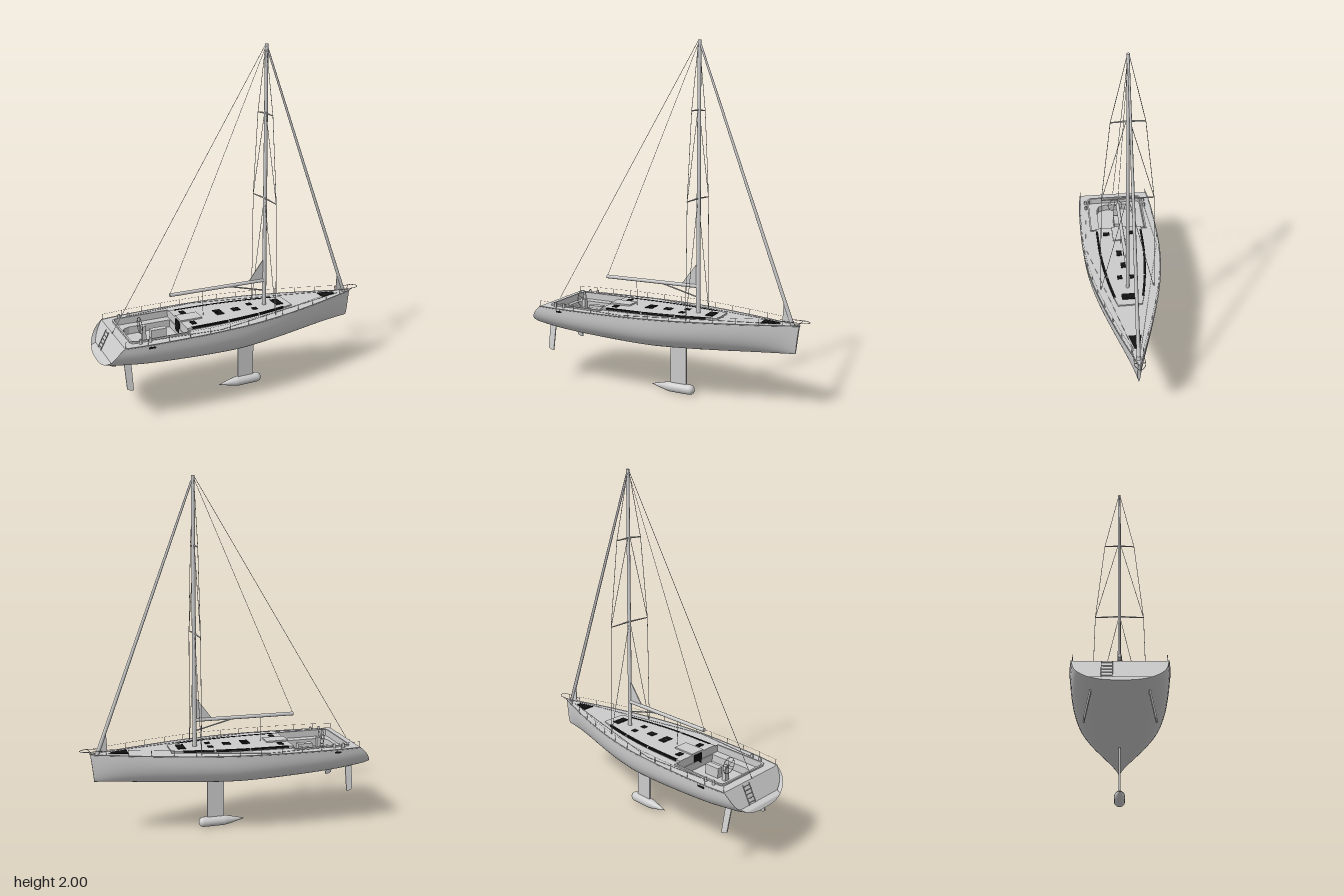
import * as THREE from 'three';

const grey = new THREE.MeshStandardMaterial({ color: 0xcccccc, side: THREE.DoubleSide });
const black = new THREE.MeshStandardMaterial({ color: 0x111111, side: THREE.DoubleSide });
const V = (x, y, z) => new THREE.Vector3(x, y, z);

// Smooth lookup through a short table of [x, value]
function curve(table) {
  const n = table.length - 1;
  const slope = i => {
    const a = table[Math.max(i - 1, 0)], b = table[Math.min(i + 1, n)];
    return (b[1] - a[1]) / (b[0] - a[0]);
  };
  return x => {
    let i = 0;
    while (i < n - 1 && x > table[i + 1][0]) i++;
    const [x0, y0] = table[i], [x1, y1] = table[i + 1], d = x1 - x0;
    const t = Math.min(Math.max((x - x0) / d, 0), 1), s = 1 - t;
    return y0 * s * s * (1 + 2 * t) + y1 * t * t * (3 - 2 * t) + d * t * s * (s * slope(i) - t * slope(i + 1));
  };
}
const halfBeam = curve([[-0.84, 0.185], [-0.8, 0.212], [-0.72, 0.224], [-0.6, 0.235], [-0.4, 0.24], [-0.2, 0.238],
  [0, 0.222], [0.2, 0.186], [0.4, 0.133], [0.6, 0.07], [0.78, 0.006]]);
const keelLine = curve([[-0.84, 0.345], [-0.6, 0.318], [-0.2, 0.296], [0, 0.292], [0.3, 0.3], [0.6, 0.318], [0.76, 0.33]]);
const roofEdge = curve([[-0.36, 0.145], [-0.1, 0.139], [0.1, 0.118], [0.27, 0.087], [0.335, 0.07]]);
const deckY = x => 0.475 + (x + 0.74) * 0.008;

// Hull point: u runs stern to bow, a runs from the keel (0) to the sheer (PI / 2)
function hullPoint(u, a) {
  const n = THREE.MathUtils.lerp(2.9, 1.9, Math.max(0, (u - 0.5) * 2));
  const t = Math.pow(Math.max(Math.cos(a), 0), 2 / n);
  const top = -0.74 + 1.52 * u, bottom = -0.84 + 1.6 * u;
  const x = top + (bottom - top) * Math.pow(t, 0.75);
  const yt = deckY(top);
  return V(x, yt - (yt - keelLine(bottom)) * t, halfBeam(x) * Math.pow(Math.sin(a), 2 / n));
}

// Skin rows of points of equal length
function skin(rows) {
  const pos = [], idx = [], m = rows[0].length;
  rows.forEach(r => r.forEach(p => pos.push(p.x, p.y, p.z)));
  for (let i = 0; i < rows.length - 1; i++) for (let j = 0; j < m - 1; j++) {
    const a = i * m + j, b = a + m;
    idx.push(a, b, a + 1, b, b + 1, a + 1);
  }
  const g = new THREE.BufferGeometry();
  g.setAttribute('position', new THREE.Float32BufferAttribute(pos, 3));
  g.setIndex(idx);
  g.computeVertexNormals();
  return g;
}

const shapeOf = pts => new THREE.Shape(pts.map(p => new THREE.Vector2(p[0], p[1])));
const rect = (x0, x1, w) => [[x0, -w], [x1, -w], [x1, w], [x0, w]];
// Rectangle with its aft corners cut
const well = (x0, x1, w, c) => [[x0 + c, -w], [x1, -w], [x1, w], [x0 + c, w], [x0 + c * 0.3, w - c * 0.3], [x0, w - c], [x0, c - w], [x0 + c * 0.3, c * 0.3 - w]];

export function createModel() {
  const boat = new THREE.Group();
  const add = (name, geo, mat = grey, parent = boat) => {
    const m = new THREE.Mesh(geo, mat);
    m.name = name;
    parent.add(m);
    return m;
  };
  const group = name => { const g = new THREE.Group(); g.name = name; boat.add(g); return g; };
  const box = (name, x, y, z, w, h, d, mat, parent) => add(name, new THREE.BoxGeometry(w, h, d).translate(x, y, z), mat, parent);
  const rod = (name, a, b, r, parent, r2 = r) => {
    const m = add(name, new THREE.CylinderGeometry(r2, r, a.distanceTo(b), 8), grey, parent);
    m.position.copy(a).lerp(b, 0.5);
    m.quaternion.setFromUnitVectors(V(0, 1, 0), b.clone().sub(a).normalize());
    return m;
  };
  // Horizontal slab from a plan outline of [x, z]
  const slab = (name, pts, y0, y1, mat = grey, hole = null, parent = boat) => {
    const s = shapeOf(pts);
    if (hole) s.holes.push(new THREE.Path(shapeOf(hole).getPoints()));
    return add(name, new THREE.ExtrudeGeometry(s, { depth: y1 - y0, bevelEnabled: false }).rotateX(Math.PI / 2).translate(0, y1, 0), mat, parent);
  };
  // Upright plate from a side outline of [x, y]
  const plate = (name, pts, d, parent) => add(name, new THREE.ExtrudeGeometry(shapeOf(pts), { depth: d, bevelEnabled: false }).translate(0, 0, -d / 2), grey, parent);

  // Hull shell
  const rows = [], N = 48, M = 18;
  for (let i = 0; i <= N; i++) {
    const row = [];
    for (let j = -M; j <= M; j++) {
      const p = hullPoint(i / N, Math.abs(j) / M * Math.PI / 2);
      if (j < 0) p.z *= -1;
      row.push(p);
    }
    rows.push(row);
  }
  add('hull', skin(rows), grey);
  add('stemCap', skin([rows[N].slice(0, M + 1).reverse(), rows[N].slice(M)]));

  // Recessed transom above a bathing platform
  const steep = [], step = [], stepY = 0.368;
  for (let j = M; j >= 0; j--) {
    const p = hullPoint(0, j / M * Math.PI / 2);
    if (p.y > stepY) {
      const q = p.clone().setX(-0.74 - 0.06 * (0.475 - p.y) / (0.475 - stepY));
      steep.push([q, q.clone().setZ(-q.z)]);
    } else step.push([p, p.clone().setZ(-p.z)]);
  }
  const foot = steep[steep.length - 1];
  add('transom', skin(steep));
  add('bathingPlatform', skin([foot, ...step]));
  const ladder = group('ladder');
  for (const z of [-0.085, -0.035]) rod('ladderRail', V(-0.752, 0.47, z), V(-0.802, 0.375, z), 0.002, ladder);
  for (let i = 0; i < 5; i++) rod('ladderRung', V(-0.756 - i * 0.01, 0.46 - i * 0.019, -0.085), V(-0.756 - i * 0.01, 0.46 - i * 0.019, -0.035), 0.002, ladder);

  // Deck with cockpit opening, following the sheer
  const edge = [];
  for (let i = 0; i <= 40; i++) { const x = -0.74 + 1.52 * i / 40; edge.push([x, halfBeam(x)]); }
  const deckShape = shapeOf([...edge, ...edge.map(([x, z]) => [x, -z]).reverse()]);
  deckShape.holes.push(new THREE.Path(shapeOf(well(-0.69, -0.36, 0.175, 0.02)).getPoints()));
  const deck = new THREE.ShapeGeometry(deckShape).rotateX(-Math.PI / 2);
  const dp = deck.attributes.position;
  for (let i = 0; i < dp.count; i++) dp.setY(i, deckY(dp.getX(i)));
  deck.computeVertexNormals();
  add('deck', deck);
  for (const s of [1, -1]) add('toeRail', new THREE.TubeGeometry(new THREE.CatmullRomCurve3(edge.map(([x, z]) => V(x, deckY(x), s * z))), 60, 0.003, 5));

  // Cockpit
  slab('cockpitCoaming', well(-0.695, -0.355, 0.18, 0.025), 0.4, 0.485, grey, well(-0.685, -0.36, 0.17, 0.02));
  slab('cockpitSeats', well(-0.69, -0.36, 0.175, 0.02), 0.4, 0.445, grey, well(-0.66, -0.365, 0.12, 0.05));
  slab('cockpitSole', rect(-0.69, -0.36, 0.175), 0.395, 0.402);
  box('cockpitTable', -0.48, 0.43, 0, 0.09, 0.06, 0.036);
  box('steeringPedestal', -0.565, 0.445, 0, 0.022, 0.09, 0.03);
  const wheel = group('steeringWheel');
  wheel.position.set(-0.585, 0.495, 0);
  add('wheelRim', new THREE.TorusGeometry(0.046, 0.002, 6, 32).rotateY(Math.PI / 2), grey, wheel);
  for (let i = 0; i < 3; i++) {
    const a = i * Math.PI / 3, p = V(0, 0.046 * Math.cos(a), 0.046 * Math.sin(a));
    rod('wheelSpoke', p, p.clone().negate(), 0.0013, wheel);
  }
  for (const s of [1, -1]) for (const x of [-0.645, -0.59]) rod('winch', V(x, 0.475, s * 0.192), V(x, 0.5, s * 0.192), 0.009, boat, 0.007);

  // Coachroof, windows and hatches
  const roof = [];
  for (let i = 0; i <= 14; i++) { const x = -0.36 + 0.695 * i / 14; roof.push([x, roofEdge(x)]); }
  slab('coachroof', [...roof, ...roof.map(([x, z]) => [x, -z]).reverse()], 0.47, 0.492);
  box('companionwaySlide', -0.295, 0.494, 0, 0.13, 0.012, 0.09);
  box('companionwayDoor', -0.362, 0.452, 0, 0.006, 0.07, 0.06, black);
  for (const s of [1, -1]) for (const [x0, x1] of [[-0.33, -0.11], [-0.1, 0.09], [0.1, 0.27]]) {
    const strip = [];
    for (let i = 0; i <= 6; i++) { const x = x0 + (x1 - x0) * i / 6; strip.push([x, s * (roofEdge(x) + 0.001)]); }
    slab('cabinWindow', [...strip, ...strip.map(([x, z]) => [x, z - s * 0.013]).reverse()], 0.482, 0.4935, black);
  }
  for (const [x, z, w, d] of [[-0.3, 0.083, 0.03, 0.04], [-0.3, -0.083, 0.03, 0.04], [-0.11, 0.02, 0.045, 0.032], [-0.11, -0.02, 0.045, 0.032],
    [0, 0, 0.045, 0.042], [0.105, 0.038, 0.03, 0.03], [0.105, -0.038, 0.03, 0.03], [0.27, 0, 0.045, 0.085]])
    box('deckHatch', x, 0.493, z, w, 0.005, d, black);
  slab('foredeckHatch', [[0.572, -0.036], [0.665, -0.012], [0.665, 0.012], [0.572, 0.036]], 0.48, 0.491, black);
  for (const s of [1, -1]) box('hullPort', -0.595, 0.46, s * 0.234, 0.04, 0.01, 0.006, black);

  // Keel, bulb and twin rudders
  plate('keelFin', [[0.015, 0.03], [0.115, 0.03], [0.115, 0.31], [0.015, 0.31]], 0.012);
  const bulb = [[0, -0.11], [0.013, -0.06], [0.026, -0.005], [0.029, 0.02], [0.029, 0.136], [0.026, 0.15], [0.018, 0.16], [0, 0.166]];
  add('keelBulb', new THREE.LatheGeometry(bulb.map(p => new THREE.Vector2(...p)), 24).rotateZ(-Math.PI / 2).translate(0, 0.031, 0));
  for (const s of [1, -1]) {
    const r = plate('rudder', [[-0.724, 0.16], [-0.684, 0.16], [-0.684, 0], [-0.704, 0.002], [-0.72, 0.012]], 0.007);
    r.position.set(0, 0.2, s * 0.163);
    r.rotation.x = -s * 0.2;
  }

  // Mast, boom and sail corners
  add('mast', new THREE.CylinderGeometry(0.01, 0.013, 1.52, 16).scale(1, 1, 0.8).translate(0.187, 1.24, 0));
  rod('boom', V(-0.405, 0.644, 0), V(0.18, 0.644, 0), 0.011);
  rod('boomVang', V(0.18, 0.582, 0), V(-0.03, 0.636, 0), 0.004);
  rod('mainsheet', V(-0.205, 0.49, 0), V(-0.205, 0.64, 0), 0.0015);
  plate('mainsailTack', [[0.085, 0.65], [0.18, 0.65], [0.18, 0.775]], 0.006);
  rod('furledHeadsail', V(0.735, 0.5, 0), V(0.195, 1.97, 0), 0.011, boat, 0.006);
  plate('headsailClew', [[0.683, 0.5], [0.735, 0.5], [0.69, 0.625]], 0.004);
  rod('furlerDrum', V(0.742, 0.48, 0), V(0.735, 0.505, 0), 0.012);

  // Standing rigging
  const rig = group('rigging');
  rod('backstay', V(-0.745, 0.475, 0), V(0.18, 1.995, 0), 0.0014, rig);
  rod('toppingLift', V(-0.403, 0.65, 0), V(0.18, 1.98, 0), 0.0012, rig);
  for (const s of [1, -1]) {
    const at = (y, z) => V(0.183, y, s * z);
    rod('upperSpreader', at(1.625, 0), at(1.62, 0.09), 0.005, rig, 0.003);
    rod('lowerSpreader', at(1.14, 0), at(1.135, 0.143), 0.005, rig, 0.003);
    for (const [a, b] of [[at(1.99, 0.005), at(1.62, 0.09)], [at(1.62, 0.09), at(1.135, 0.143)], [at(1.135, 0.143), at(0.48, 0.158)],
      [at(1.64, 0.005), at(1.135, 0.143)], [at(1.13, 0.005), at(0.48, 0.155)]]) rod('shroud', a, b, 0.0016, rig);
    const sheet = [V(-0.6, 0.483, s * 0.19), V(-0.19, 0.484, s * 0.222), V(0.68, 0.492, s * 0.02)];
    for (let i = 0; i < 2; i++) rod('deckLine', sheet[i], sheet[i + 1], 0.001, rig);
  }

  // Lifelines and pulpit
  const rails = group('lifelines');
  for (const s of [1, -1]) {
    let last = null;
    for (let i = 0; i <= 12; i++) {
      const x = -0.735 + i * 0.119, z = s * (halfBeam(x) - 0.006), top = V(x, deckY(x) + 0.033, z);
      rod('stanchion', V(x, deckY(x), z), top, 0.0015, rails);
      if (last) rod('lifeline', last, top, 0.0007, rails);
      last = top;
    }
  }
  const bow = [[0.69, -0.03], [0.75, -0.028], [0.81, -0.027], [0.836, 0], [0.81, 0.027], [0.75, 0.028], [0.69, 0.03]];
  add('pulpit', new THREE.TubeGeometry(new THREE.CatmullRomCurve3(bow.map(([x, z]) => V(x, 0.51, z))), 40, 0.002, 6), grey, rails);
  for (const s of [1, -1]) rod('pulpitLeg', V(0.765, 0.485, s * 0.008), V(0.79, 0.51, s * 0.027), 0.002, rails);
  return boat;
}
